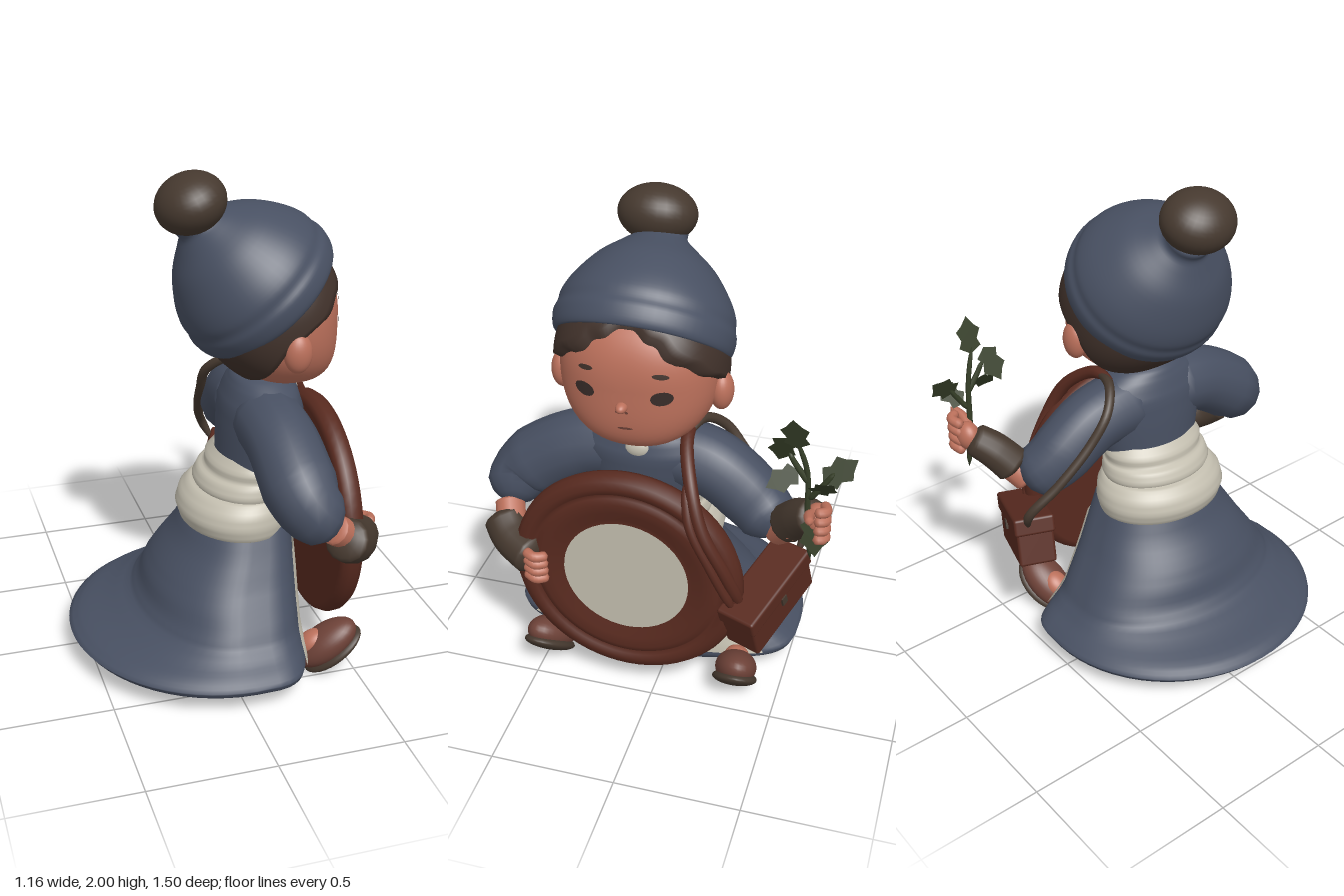
import * as THREE from 'three';
import { mergeVertices } from 'three/addons/utils/BufferGeometryUtils.js';
import { RoundedBoxGeometry } from 'three/addons/geometries/RoundedBoxGeometry.js';

const mat = (name, color, side = THREE.FrontSide) => {
  const m = new THREE.MeshStandardMaterial({ color, side });
  m.name = name;
  return m;
};

export function createModel() {
  const cloth = mat('blue cloth', 0x485062, THREE.DoubleSide);
  const linen = mat('linen', 0xc3beaf, THREE.DoubleSide);
  const skin = mat('skin', 0xbb705b);
  const leather = mat('red brown leather', 0x582a1f);
  const wool = mat('brown wool', 0x46392f);
  const hairMat = mat('hair', 0x40312a, THREE.DoubleSide);
  const shoeMat = mat('shoe', 0x6e4238);
  const green = mat('leaf green', 0x363f28, THREE.DoubleSide);
  const ink = mat('eye', 0x382c29);

  const model = new THREE.Group();
  const add = (name, geo, material, parent = model) => {
    const mesh = new THREE.Mesh(geo, material);
    mesh.name = name;
    parent.add(mesh);
    return mesh;
  };
  const smooth = (geo) => {
    geo.deleteAttribute('uv');
    geo.deleteAttribute('normal');
    const g = mergeVertices(geo, 1e-5);
    g.computeVertexNormals();
    return g;
  };
  // Surface from a rule f(u, v), with u and v from 0 to 1
  const grid = (nu, nv, f) => {
    const pos = [], idx = [];
    for (let i = 0; i <= nu; i++) for (let j = 0; j <= nv; j++) pos.push(...f(i / nu, j / nv));
    for (let i = 0; i < nu; i++) for (let j = 0; j < nv; j++) {
      const a = i * (nv + 1) + j, b = a + nv + 1;
      idx.push(a, b, a + 1, b, b + 1, a + 1);
    }
    const g = new THREE.BufferGeometry();
    g.setAttribute('position', new THREE.Float32BufferAttribute(pos, 3));
    g.setIndex(idx);
    return smooth(g);
  };
  const sample = (list, t) => {
    const s = t * (list.length - 1), i = Math.min(Math.floor(s), list.length - 2);
    return THREE.MathUtils.lerp(list[i], list[i + 1], s - i);
  };
  // Stacked ovals, rows of [y, back x, front x, half width]; a low frontPower flattens the front
  const loft = (rows, cz, frontPower = 1, reach = Math.PI, grow = 0) => grid((rows.length - 1) * 3, 64, (u, v) => {
    const [y, b, f, w] = [0, 1, 2, 3].map((k) => sample(rows.map((r) => r[k]), u));
    const a = reach * (2 * v - 1), mid = Math.max((b + f) / 2, 0.02), c = Math.cos(a);
    const x = c > 0 ? (f - mid + grow) * c ** frontPower : (mid - b + grow) * c;
    return [mid + x, y, cz + (w + grow) * Math.sin(a)];
  });
  // Round-ended tube with a varying radius
  const limb = (points, radii, segs = 24, sides = 14) => {
    const curve = new THREE.CatmullRomCurve3(points.map((p) => new THREE.Vector3(...p)));
    const g = new THREE.TubeGeometry(curve, segs, 1, sides);
    const p = g.attributes.position, v = new THREE.Vector3();
    for (let i = 0; i <= segs; i++) {
      const t = i / segs, c = curve.getPointAt(t);
      const r = sample(radii, t) * Math.sqrt(Math.min(1, Math.min(t, 1 - t) * 9));
      for (let j = 0; j <= sides; j++) {
        const k = i * (sides + 1) + j;
        v.fromBufferAttribute(p, k).sub(c).multiplyScalar(r).add(c);
        p.setXYZ(k, v.x, v.y, v.z);
      }
    }
    return smooth(g);
  };
  const ball = (name, material, pos, size, parent = model) => {
    const m = add(name, new THREE.SphereGeometry(1, 28, 20), material, parent);
    m.position.set(...pos);
    m.scale.set(...size);
    return m;
  };

  // Skirt, underskirt, sash and jacket
  const skirt = [[0.035, 0.0, 0.1, 0.02], [0.03, -0.1, 0.31, 0.3], [0.06, -0.38, 0.325, 0.5], [0.085, -0.56, 0.33, 0.6],
    [0.11, -0.58, 0.33, 0.612], [0.14, -0.53, 0.33, 0.575], [0.17, -0.42, 0.33, 0.53], [0.21, -0.315, 0.33, 0.485], [0.26, -0.278, 0.33, 0.455],
    [0.33, -0.255, 0.33, 0.41], [0.4, -0.215, 0.33, 0.365], [0.5, -0.14, 0.325, 0.31], [0.6, -0.09, 0.32, 0.26]];
  add('skirt', loft(skirt, 0.085, 0.5), cloth);
  add('underskirt', loft(skirt.slice(4, 12), 0.085, 0.5, 0.95, 0.008), linen);
  add('lowerSash', loft([[0.55, -0.08, 0.31, 0.25], [0.57, -0.11, 0.33, 0.28], [0.62, -0.125, 0.34, 0.29], [0.67, -0.11, 0.34, 0.28],
    [0.71, -0.075, 0.33, 0.25], [0.72, -0.04, 0.31, 0.22]], 0.09), linen);
  add('upperSash', loft([[0.69, -0.04, 0.31, 0.23], [0.73, -0.055, 0.33, 0.245], [0.77, -0.035, 0.33, 0.235], [0.785, -0.005, 0.32, 0.22],
    [0.82, 0.0, 0.32, 0.225], [0.86, 0.035, 0.3, 0.2]], 0.09), linen);
  add('jacket', loft([[0.8, 0.04, 0.33, 0.215], [0.95, 0.045, 0.36, 0.25], [1.06, 0.055, 0.37, 0.27], [1.13, 0.08, 0.35, 0.22],
    [1.17, 0.1, 0.32, 0.15], [1.19, 0.13, 0.3, 0.1]], 0.095), cloth);
  const collar = add('collar', new THREE.TorusGeometry(0.095, 0.018, 10, 32), linen);
  collar.position.set(0.225, 1.178, 0.09);
  collar.rotation.set(Math.PI / 2, -0.25, 0);
  ball('collarFront', linen, [0.335, 1.1, 0.085], [0.035, 0.045, 0.055]);
  const neck = add('neck', new THREE.CylinderGeometry(0.085, 0.095, 0.16, 24), skin);
  neck.position.set(0.22, 1.19, 0.09);

  // Head as a soft box-like ball with the jaw set forward
  const H = { x: 0.24, y: 1.43, z: 0.09, a: 0.255, b: 0.285, c: 0.305, n: 2.3 };
  const jaw = (y) => 0.085 * Math.max(0, (H.y - y) / H.b) ** 2;
  const onHead = (theta, phi, k = 1) => {
    const d = [Math.cos(theta), Math.sin(theta) * Math.cos(phi), Math.sin(theta) * Math.sin(phi)];
    const s = [H.a, H.b, H.c].reduce((t, r, i) => t + Math.abs(d[i] / r) ** H.n, 0) ** (-1 / H.n) * k;
    const y = H.y + d[1] * s;
    return [H.x + d[0] * s + jaw(y), y, H.z + d[2] * s];
  };
  add('head', grid(36, 48, (u, v) => onHead(u * Math.PI, v * 2 * Math.PI)), skin);
  const faceX = (y, z) => H.x + jaw(y)
    + H.a * (1 - Math.abs((y - H.y) / H.b) ** H.n - Math.abs((z - H.z) / H.c) ** H.n) ** (1 / H.n);
  const facePatch = (name, y, z, ry, rz, tilt, material) => add(name, grid(3, 20, (u, v) => {
    const a = v * 2 * Math.PI, p = u * ry * Math.cos(a), q = u * rz * Math.sin(a);
    const yy = y + p * Math.cos(tilt) - q * Math.sin(tilt), zz = z + p * Math.sin(tilt) + q * Math.cos(tilt);
    return [faceX(yy, zz) + 0.005, yy, zz];
  }), material);
  for (const s of [1, -1]) {
    facePatch('eye', 1.418, H.z + s * 0.145, 0.028, 0.04, -s * 0.1, ink);
    facePatch('eyebrow', 1.505, H.z + s * 0.14, 0.01, 0.03, s * 0.12, hairMat);
    ball('ear', skin, [0.255, 1.355, H.z + s * 0.31], [0.055, 0.078, 0.045]);
    facePatch('nostril', 1.352, H.z + s * 0.018, 0.005, 0.007, 0, shoeMat);
  }
  facePatch('mouth', 1.283, H.z - 0.01, 0.005, 0.03, 0.05, shoeMat);
  ball('nose', skin, [0.499, 1.372, H.z], [0.032, 0.02, 0.022]);

  // Hair with a parted fringe sweeping to the temples and a rolled edge
  const hairline = [49, 45, 42, 45, 62, 92, 105, 118, 126, 128];
  add('hair', grid(24, 120, (u, v) => {
    const phi = (v * 2 - 1) * Math.PI, around = Math.abs(phi) / Math.PI;
    const wave = around < 0.45 ? 1.5 * Math.sin(around * 40) : 0;
    const start = THREE.MathUtils.degToRad(sample(hairline, around) + wave);
    return onHead(start + (Math.PI - start) * u, phi, u === 0 ? 0.98 : 1.08);
  }), hairMat);

  // Knitted hat, tipped back, drawn up to its bobble
  const hat = new THREE.Group();
  hat.name = 'hat';
  hat.position.set(0.22, 1.5, 0.095);
  hat.rotation.z = 0.72;
  model.add(hat);
  const hatCurve = new THREE.SplineCurve([[0.3, 0.02], [0.322, -0.02], [0.34, 0.0], [0.346, 0.05], [0.336, 0.085], [0.33, 0.13],
    [0.295, 0.2], [0.225, 0.29], [0.14, 0.36], [0.1, 0.395], [0.095, 0.43], [0.06, 0.45], [0.0, 0.45]].map((p) => new THREE.Vector2(...p)));
  add('hatCrown', new THREE.LatheGeometry(hatCurve.getPoints(48), 56), cloth, hat).scale.x = 0.95;
  ball('bobble', wool, [-0.078, 1.878, 0.12], [0.138, 0.112, 0.153]).rotation.z = 0.4;

  // Right arm, holding the drum rim
  add('rightSleeve', limb([[0.2, 1.03, 0.13], [0.21, 0.99, 0.37], [0.245, 0.82, 0.61], [0.35, 0.74, 0.61]], [0.14, 0.14, 0.145, 0.105]), cloth);
  add('rightWrist', limb([[0.32, 0.74, 0.64], [0.41, 0.67, 0.6]], [0.06, 0.06]), skin);
  add('rightGlove', limb([[0.36, 0.7, 0.66], [0.43, 0.64, 0.59], [0.51, 0.605, 0.46]], [0.085, 0.085, 0.08]), wool);
  for (let i = 0; i < 4; i++) {
    const y = 0.545 + i * 0.035;
    add('rightFinger', limb([[0.53, y + 0.01, 0.5], [0.555, y + 0.005, 0.45], [0.525, y, 0.405]], [0.021, 0.02], 12, 10), skin);
  }

  // Left arm, raised with the sprig
  add('leftSleeve', limb([[0.2, 1.03, 0.06], [0.21, 0.99, -0.18], [0.235, 0.85, -0.37], [0.3, 0.765, -0.47]], [0.14, 0.135, 0.13, 0.105]), cloth);
  add('leftWrist', limb([[0.28, 0.77, -0.45], [0.37, 0.88, -0.54]], [0.06, 0.055]), skin);
  add('leftGlove', limb([[0.31, 0.83, -0.49], [0.37, 0.92, -0.56], [0.43, 0.98, -0.63]], [0.08, 0.075, 0.065]), wool);
  ball('leftPalm', skin, [0.44, 0.98, -0.63], [0.055, 0.06, 0.045]);
  for (let i = 0; i < 4; i++) {
    const y = 0.92 + i * 0.04;
    add('leftFinger', limb([[0.43, y, -0.655], [0.49, y + 0.01, -0.67], [0.515, y + 0.015, -0.63]], [0.021, 0.019], 12, 10), skin);
  }
  add('leftThumb', limb([[0.44, 1.0, -0.62], [0.5, 1.03, -0.61], [0.57, 1.05, -0.625]], [0.024, 0.015], 12, 10), skin);

  // Sprig: stems and jagged leaves
  const stem = (pts) => add('stem', limb(pts, [0.013, 0.009], 14, 6), green);
  stem([[0.47, 0.81, -0.62], [0.47, 1.0, -0.6], [0.47, 1.2, -0.59], [0.49, 1.34, -0.55]]);
  stem([[0.47, 1.08, -0.6], [0.48, 1.14, -0.64], [0.48, 1.22, -0.69]]);
  stem([[0.47, 1.15, -0.6], [0.47, 1.22, -0.55], [0.47, 1.27, -0.52]]);
  const half = [[0.015, 0.01], [0.05, 0.03], [0.036, 0.06], [0.055, 0.1], [0.03, 0.12]];
  const leafShape = new THREE.Shape([[0, 0], ...half, [0, 0.16], ...half.map(([x, y]) => [-x, y]).reverse()].map((p) => new THREE.Vector2(...p)));
  const leafGeo = new THREE.ShapeGeometry(leafShape);
  for (const [x, y, z, roll, tilt, size] of [[0.49, 1.305, -0.555, 0.1, 0.3, 0.95], [0.47, 1.33, -0.51, 2.9, 0.4, 0.95],
    [0.47, 1.2, -0.56, 2.2, -0.6, 0.85], [0.47, 1.11, -0.62, -0.6, 0.6, 0.85],
    [0.48, 1.17, -0.65, -0.85, -0.4, 0.95], [0.48, 1.01, -0.62, 3.3, -0.3, 0.95]]) {
    const leaf = add('leaf', leafGeo, green);
    leaf.position.set(x, y, z);
    leaf.rotation.set(tilt, Math.PI / 2, roll, 'YXZ');
    leaf.scale.setScalar(size);
  }

  // Drum: turned wooden rim and pale skin
  const drum = new THREE.Group();
  drum.name = 'drum';
  drum.position.set(0.45, 0.58, 0.1);
  drum.rotation.z = -Math.PI / 2;
  model.add(drum);
  const rim = [[0, -0.045], [0.43, -0.045], [0.455, -0.035], [0.467, -0.01], [0.465, 0.02], [0.45, 0.042], [0.42, 0.05], [0.395, 0.045],
    [0.385, 0.03], [0.375, 0.042], [0.35, 0.05], [0.31, 0.045], [0.27, 0.032], [0.25, 0.03], [0, 0.03]];
  add('drumRim', new THREE.LatheGeometry(rim.map((p) => new THREE.Vector2(...p)), 64), leather, drum);
  const drumSkin = add('drumSkin', new THREE.CircleGeometry(0.255, 48), linen, drum);
  drumSkin.rotation.x = -Math.PI / 2;
  drumSkin.position.y = 0.037;

  // Shoulder bag and strap
  const bag = new THREE.Group();
  bag.name = 'bag';
  bag.position.set(0.345, 0.49, -0.44);
  bag.rotation.set(0, -0.38, -0.3, 'YXZ');
  model.add(bag);
  add('bagBody', new RoundedBoxGeometry(0.4, 0.2, 0.155, 3, 0.012), leather, bag);
  add('bagFlap', new RoundedBoxGeometry(0.415, 0.075, 0.17, 3, 0.012), leather, bag).position.y = 0.07;
  add('bagClasp', new THREE.BoxGeometry(0.03, 0.04, 0.009), wool, bag).position.set(0, 0.03, -0.086);
  add('frontStrap', limb([[0.46, 0.5, -0.37], [0.505, 0.7, -0.3], [0.505, 0.88, -0.21], [0.44, 1.04, -0.15], [0.3, 1.145, -0.1], [0.17, 1.155, -0.1]],
    [0.026, 0.026], 40, 10), leather);
  add('secondStrap', limb([[0.5, 0.52, -0.34], [0.52, 0.72, -0.25], [0.51, 0.9, -0.165], [0.44, 1.05, -0.13]], [0.02, 0.02], 30, 10), leather);
  add('backStrap', limb([[0.28, 1.15, -0.1], [0.16, 1.16, -0.13], [0.08, 1.09, -0.2], [0.08, 0.97, -0.29], [0.11, 0.82, -0.43], [0.16, 0.7, -0.54],
    [0.21, 0.6, -0.52]], [0.02, 0.02], 50, 10), wool);

  // Feet, toes up, soles forward
  for (const [z, s] of [[0.47, 1], [-0.33, -1]]) {
    const foot = new THREE.Group();
    foot.name = 'foot';
    foot.position.set(0.385, 0.122, z);
    foot.rotation.set(s * 0.12, -s * 0.2, 0.7, 'YXZ');
    model.add(foot);
    ball('shoe', shoeMat, [0, 0, 0], [0.145, 0.07, 0.085], foot);
    ball('sole', wool, [0, -0.045, 0], [0.142, 0.032, 0.092], foot);
    ball('ankle', skin, [-0.04, 0.045, 0], [0.065, 0.042, 0.05], foot);
  }
  return model;
}
